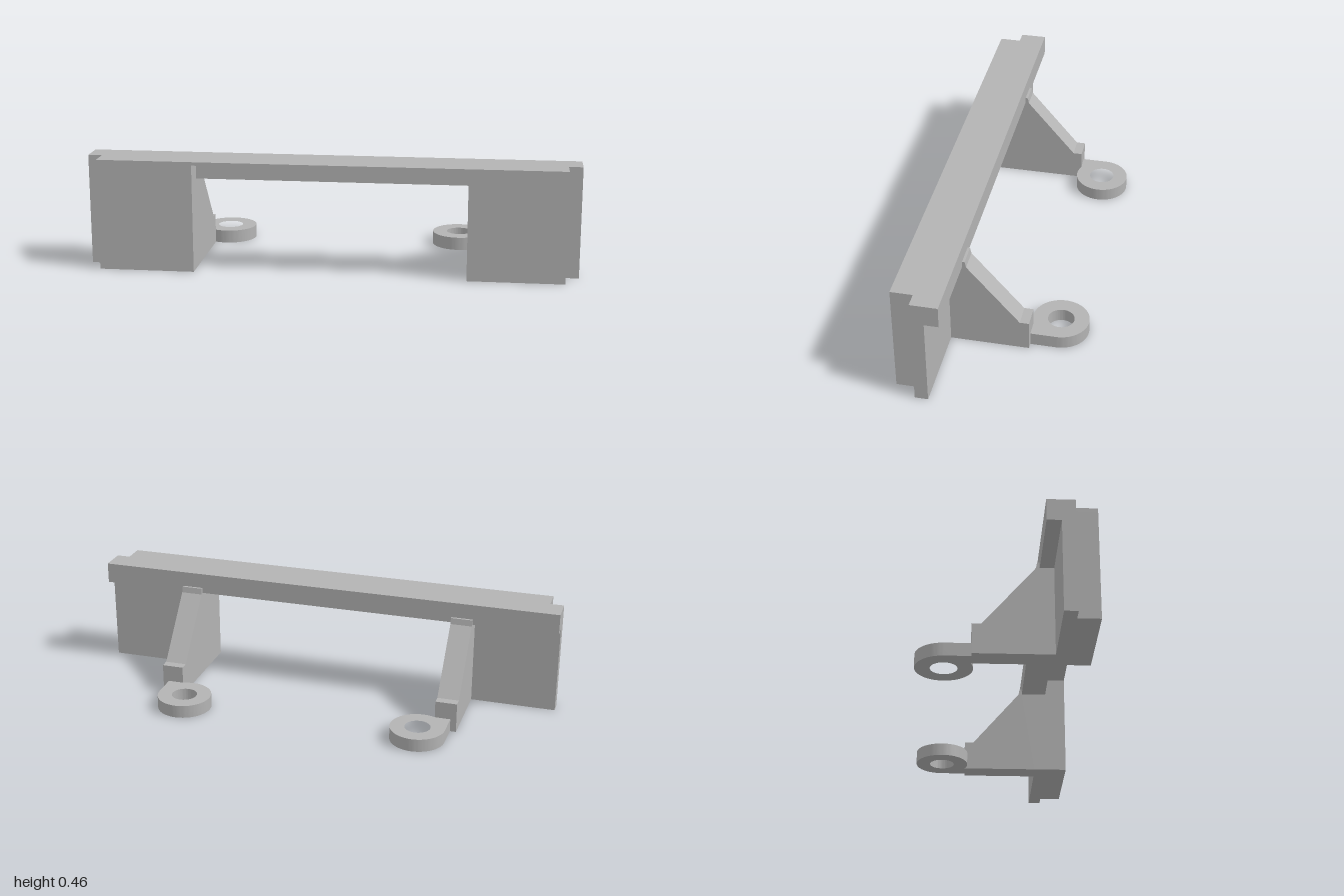
import * as THREE from 'three';
import { toCreasedNormals } from 'three/addons/utils/BufferGeometryUtils.js';

export function createModel() {
  const model = new THREE.Group();
  model.name = 'mountingBracket';
  const grey = new THREE.MeshStandardMaterial({ color: 0xb3b3b3 });
  grey.name = 'plain grey';

  const add = (name, geometry, parent) => {
    const mesh = new THREE.Mesh(geometry, grey);
    mesh.name = name;
    parent.add(mesh);
    return mesh;
  };

  // Box given by its limits on each axis
  const box = (name, [x0, x1], [y0, y1], [z0, z1], parent) => {
    const geometry = new THREE.BoxGeometry(Math.abs(x1 - x0), y1 - y0, z1 - z0);
    add(name, geometry, parent).position.set((x0 + x1) / 2, (y0 + y1) / 2, (z0 + z1) / 2);
  };

  const height = 0.457, beamBottom = 0.37, lipBottom = 0.443;
  const inner = 0.553, shoulder = 0.943;
  const beamBack = 0.14, legBack = 0.196, step = 0.248, front = 0.336;

  // Top beam: full-width rear bar and a thin front lip over the opening
  box('beam', [-1, 1], [beamBottom, height], [beamBack, step], model);
  box('frontLip', [-shoulder, shoulder], [lipBottom, height], [step, front], model);

  // Gusset side profile, as [z, y]
  const gussetProfile = [
    [legBack, 0], [-0.12, 0], [-0.12, 0.125], [-0.083, 0.125],
    [0.125, 0.368], [0.13, 0.393], [beamBack, 0.393], [beamBack, beamBottom], [legBack, beamBottom],
  ].map(([z, y]) => new THREE.Vector2(-z, y));
  const gussetWidth = 0.09;

  // Screw eye
  const eyeX = 0.505, eyeZ = -0.223, eyeRadius = 0.113, holeRadius = 0.053, eyeHeight = 0.054;

  for (const side of [-1, 1]) {
    const support = new THREE.Group();
    support.name = side > 0 ? 'leftSupport' : 'rightSupport';
    model.add(support);

    // Leg: rear plate with a side tab, and a narrower front block
    box('legRearPlate', [side * inner, side], [0, beamBottom], [legBack, step], support);
    box('legFrontBlock', [side * inner, side * shoulder], [0, lipBottom], [step, front], support);

    // Sloping gusset behind the leg
    const gusset = new THREE.ExtrudeGeometry(new THREE.Shape(gussetProfile), {
      depth: gussetWidth, bevelEnabled: false,
    });
    gusset.rotateY(Math.PI / 2);
    gusset.translate(side > 0 ? inner : -inner - gussetWidth, 0, 0);
    add('gusset', gusset, support);

    // Eye outline: round on the inside, straight tangent on the outside, joined to the gusset
    const end = 2 * Math.PI - Math.acos((inner - eyeX) / eyeRadius);
    const outline = new THREE.Shape();
    outline.moveTo(side * (eyeX + eyeRadius), 0.119);
    outline.lineTo(side * (eyeX + eyeRadius), -eyeZ);
    outline.absarc(side * eyeX, -eyeZ, eyeRadius,
      side > 0 ? 0 : Math.PI, side > 0 ? end : Math.PI - end, side < 0);
    outline.lineTo(side * inner, 0.119);
    outline.closePath();
    const hole = new THREE.Path();
    hole.absarc(side * eyeX, -eyeZ, holeRadius, 0, Math.PI * 2, true);
    outline.holes.push(hole);
    const eye = new THREE.ExtrudeGeometry(outline, {
      depth: eyeHeight, bevelEnabled: false, curveSegments: 40,
    });
    eye.rotateX(-Math.PI / 2);
    add('screwEye', toCreasedNormals(eye, 0.6), support);
  }
  return model;
}
